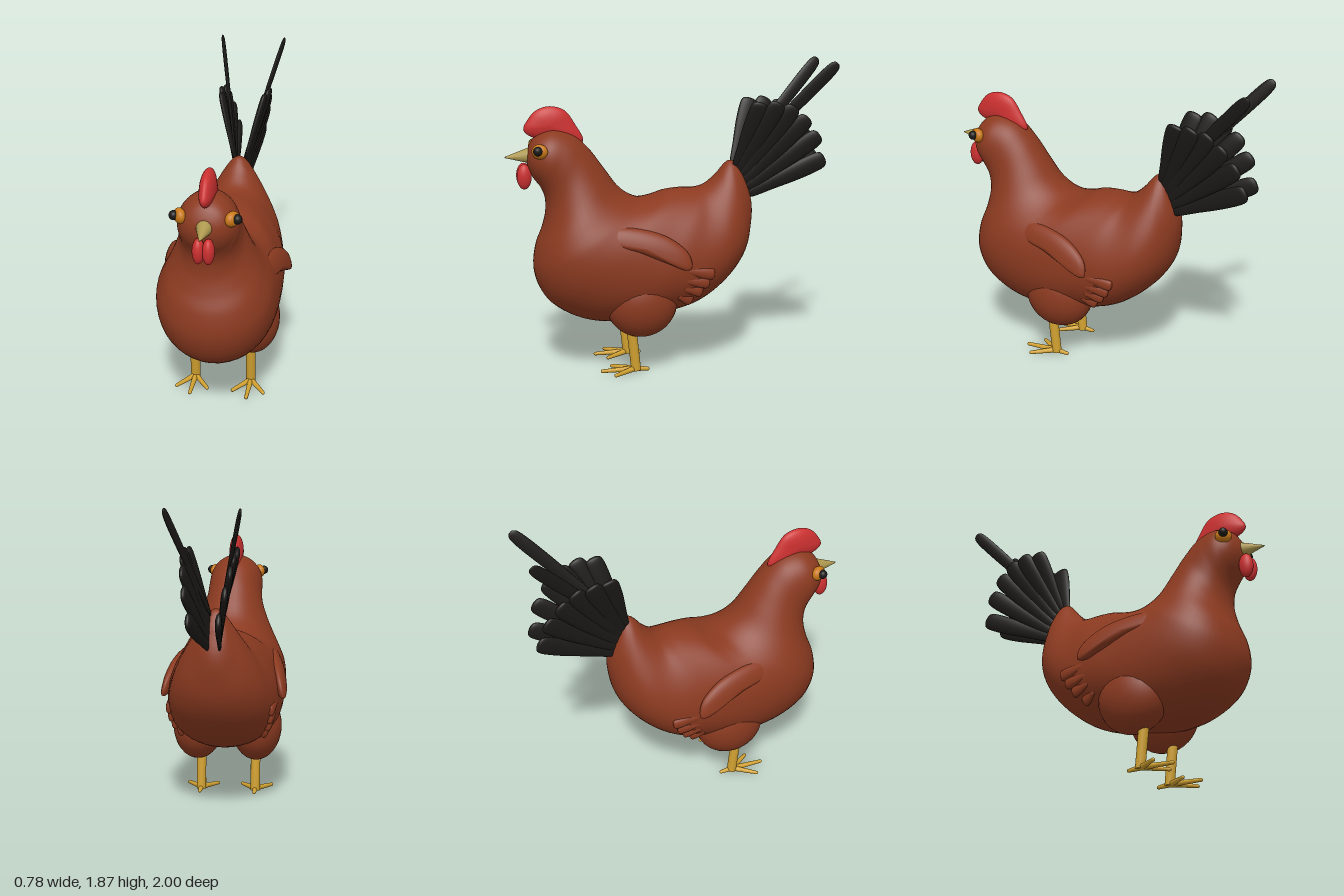
import * as THREE from 'three';

const V = (x, y, z) => new THREE.Vector3(x, y, z);
const mat = (color) => new THREE.MeshStandardMaterial({ color, roughness: 0.8 });
const brown = mat(0x8b3a20), red = mat(0xcc3030), black = mat(0x1c1a18);
const yellow = mat(0xd0a030), orange = mat(0xc87818), horn = mat(0xb09a50);

function add(parent, name, geometry, material) {
  const mesh = new THREE.Mesh(geometry, material);
  mesh.name = name;
  parent.add(mesh);
  return mesh;
}

// Smooth skin through closed rings of equal point count
function loft(rings) {
  const n = rings[0].length, index = [];
  for (let i = 0; i < rings.length - 1; i++) {
    for (let j = 0; j < n; j++) {
      const a = i * n + j, b = i * n + (j + 1) % n;
      index.push(a, b, a + n, b, b + n, a + n);
    }
  }
  const g = new THREE.BufferGeometry().setFromPoints(rings.flat());
  g.setIndex(index);
  g.computeVertexNormals();
  return g;
}

// Body sections from beak to tail: top z, y, bottom z, y, half width, narrowing towards the top
function bodyGeometry() {
  const sections = [
    [0.87, 1.33, 0.87, 1.33, 0, 0],
    [0.855, 1.39, 0.866, 1.27, 0.075, 0],
    [0.81, 1.455, 0.835, 1.20, 0.135, 0],
    [0.72, 1.49, 0.79, 1.14, 0.17, 0],
    [0.60, 1.46, 0.765, 1.07, 0.175, 0],
    [0.50, 1.37, 0.765, 0.98, 0.185, 0],
    [0.41, 1.25, 0.79, 0.88, 0.225, 0.05],
    [0.31, 1.12, 0.83, 0.77, 0.285, 0.1],
    [0.20, 1.06, 0.84, 0.62, 0.335, 0.1],
    [0.11, 1.07, 0.77, 0.46, 0.352, 0.1],
    [0.02, 1.10, 0.60, 0.34, 0.355, 0.1],
    [-0.08, 1.11, 0.38, 0.295, 0.35, 0.12],
    [-0.16, 1.11, 0.10, 0.33, 0.34, 0.15],
    [-0.22, 1.13, -0.15, 0.40, 0.31, 0.25],
    [-0.29, 1.19, -0.35, 0.55, 0.26, 0.35],
    [-0.33, 1.24, -0.46, 0.70, 0.195, 0.35],
    [-0.37, 1.27, -0.505, 0.87, 0.12, 0.25],
    [-0.41, 1.255, -0.51, 1.01, 0.065, 0.1],
    [-0.47, 1.15, -0.47, 1.15, 0, 0],
  ];
  const top = new THREE.CatmullRomCurve3(sections.map((s) => V(s[4], s[1], s[0])));
  const bottom = new THREE.CatmullRomCurve3(sections.map((s) => V(s[5], s[3], s[2])));
  const rings = [], steps = 90, sides = 48;
  for (let i = 0; i <= steps; i++) {
    const t = top.getPoint(i / steps), b = bottom.getPoint(i / steps), ring = [];
    for (let j = 0; j < sides; j++) {
      const a = j / sides * Math.PI * 2, c = Math.cos(a), m = (1 - c) / 2;
      ring.push(V(t.x * Math.sin(a) * (1 - b.x * c), t.y + (b.y - t.y) * m, t.z + (b.z - t.z) * m));
    }
    rings.push(ring);
  }
  return loft(rings);
}

// Rounded cushion over a [z, y] outline running rear, top, front, bottom
function cushion(outline, thickness, shift = () => 0) {
  const pts = new THREE.CatmullRomCurve3(outline.map(([z, y]) => V(0, y, z)), true).getPoints(48).slice(0, -1);
  const mid = pts.reduce((s, p) => s.add(p), V(0, 0, 0)).divideScalar(pts.length);
  const rings = [];
  for (let i = 0; i <= 16; i++) {
    const a = i / 16 * Math.PI;
    rings.push(pts.map((p) => {
      const q = mid.clone().lerp(p, Math.sin(a));
      q.x = -Math.cos(a) * thickness + shift(q);
      return q;
    }));
  }
  return loft(rings);
}

// Flat feather with a narrow root and a blunt rounded tip
const featherProfile = new THREE.SplineCurve([[0, 0], [0.5, 0.01], [0.72, 0.3], [0.95, 0.6],
  [1, 0.85], [0.85, 0.96], [0.45, 0.995], [0, 1]].map(([x, y]) => new THREE.Vector2(x, y)))
  .getPoints(24).map((p) => new THREE.Vector2(Math.max(0, p.x), p.y));
function feather(parent, name, from, to, width, thickness, material) {
  const dir = to.clone().sub(from), length = dir.length();
  dir.normalize();
  const thin = V(1, 0, 0).addScaledVector(dir, -dir.x).normalize();
  const wide = dir.clone().cross(thin);
  const g = new THREE.LatheGeometry(featherProfile, 20);
  g.scale(width / 2, length, thickness / 2);
  g.applyMatrix4(new THREE.Matrix4().makeBasis(wide, dir, thin).setPosition(from));
  return add(parent, name, g, material);
}

function rod(parent, name, from, to, r0, r1, material) {
  const dir = to.clone().sub(from);
  const m = add(parent, name, new THREE.CylinderGeometry(r1, r0, dir.length(), 16), material);
  m.position.copy(from).lerp(to, 0.5);
  m.quaternion.setFromUnitVectors(V(0, 1, 0), dir.normalize());
  return m;
}

function ellipsoid(parent, name, center, radii, material) {
  const m = add(parent, name, new THREE.SphereGeometry(1, 32, 20), material);
  m.position.copy(center);
  m.scale.copy(radii);
  return m;
}

export function createModel() {
  const hen = new THREE.Group();
  hen.name = 'hen';
  const body = add(hen, 'body', bodyGeometry(), brown);

  // Distance from the middle plane to the body's flank
  const ray = new THREE.Raycaster();
  const flank = (y, z) => {
    ray.set(V(1, y, z), V(-1, 0, 0));
    const hit = ray.intersectObject(body)[0];
    return hit ? hit.point.x : 0.28;
  };

  // Comb and beak
  add(hen, 'comb', cushion([[0.53, 1.41], [0.58, 1.52], [0.64, 1.6], [0.73, 1.625], [0.81, 1.6],
    [0.86, 1.545], [0.885, 1.49], [0.85, 1.45], [0.7, 1.42]], 0.045), red);
  const beak = rod(hen, 'beak', V(0, 1.335, 0.84), V(0, 1.325, 1), 0.052, 0.003, horn);
  beak.geometry.computeBoundingSphere();

  for (const s of [1, -1]) {
    // Face
    ellipsoid(hen, 'wattle', V(s * 0.028, 1.21, 0.888), V(0.035, 0.076, 0.044), red);
    const eye = ellipsoid(hen, 'eye', V(s * 0.145, 1.375, 0.802), V(0.034, 0.044, 0.05), orange);
    eye.rotation.y = s * -0.5;
    ellipsoid(hen, 'pupil', V(s * 0.176, 1.382, 0.816), V(0.027, 0.028, 0.027), black);

    // Wing with small feathers behind it
    add(hen, 'wing', cushion([[-0.065, 0.69], [-0.05, 0.77], [0.05, 0.86], [0.2, 0.915], [0.38, 0.93],
      [0.5, 0.9], [0.52, 0.87], [0.42, 0.825], [0.25, 0.785], [0.08, 0.72], [-0.04, 0.675]], 0.05,
      (p) => s * (0.312 - 0.12 * (p.z - 0.2) - 0.2 * (p.y - 0.82))), brown);
    [[0.66, -0.05, 0.63, -0.215], [0.6, -0.04, 0.575, -0.185], [0.55, -0.03, 0.52, -0.145],
      [0.5, 0.0, 0.46, -0.085]].forEach(([y0, z0, y1, z1]) => {
      feather(hen, 'wingFeather', V(s * (flank(y0, z0) - 0.01), y0, z0),
        V(s * (flank(y1, z1) + 0.008), y1, z1), 0.07, 0.04, brown);
    });

    // Tail fan and one long plume
    [[0.14, 1.635, -0.535], [0.155, 1.635, -0.64], [0.145, 1.61, -0.74], [0.135, 1.54, -0.83],
      [0.115, 1.43, -0.91], [0.085, 1.28, -0.955]].forEach(([x, y, z], i) => {
      feather(hen, 'tailFeather', V(s * 0.035, 1.24 - i * 0.035, -0.41 - i * 0.016),
        V(s * x, y, z), 0.115, 0.04, black);
    });
    feather(hen, 'tailPlume', V(s * 0.03, 1.25, -0.42), V(s * 0.205, 1.87, -0.985), 0.08, 0.025, black);

    // Thigh, shank and toes
    ellipsoid(hen, 'thigh', V(s * 0.185, 0.45, 0.21), V(0.16, 0.218, 0.22), brown);
    rod(hen, 'shank', V(s * 0.175, 0.015, 0.243), V(s * 0.175, 0.32, 0.275), 0.03, 0.031, yellow);
    const ankle = V(s * 0.175, 0.025, 0.25);
    for (const [dx, z] of [[0, 0.45], [0.095, 0.38], [-0.095, 0.38], [0, 0.17]]) {
      const tip = V(ankle.x + dx, 0.018, z);
      rod(hen, 'toe', ankle, tip, 0.018, 0.011, yellow);
      ellipsoid(hen, 'toeTip', tip, V(0.011, 0.011, 0.011), yellow);
    }
  }
  return hen;
}
